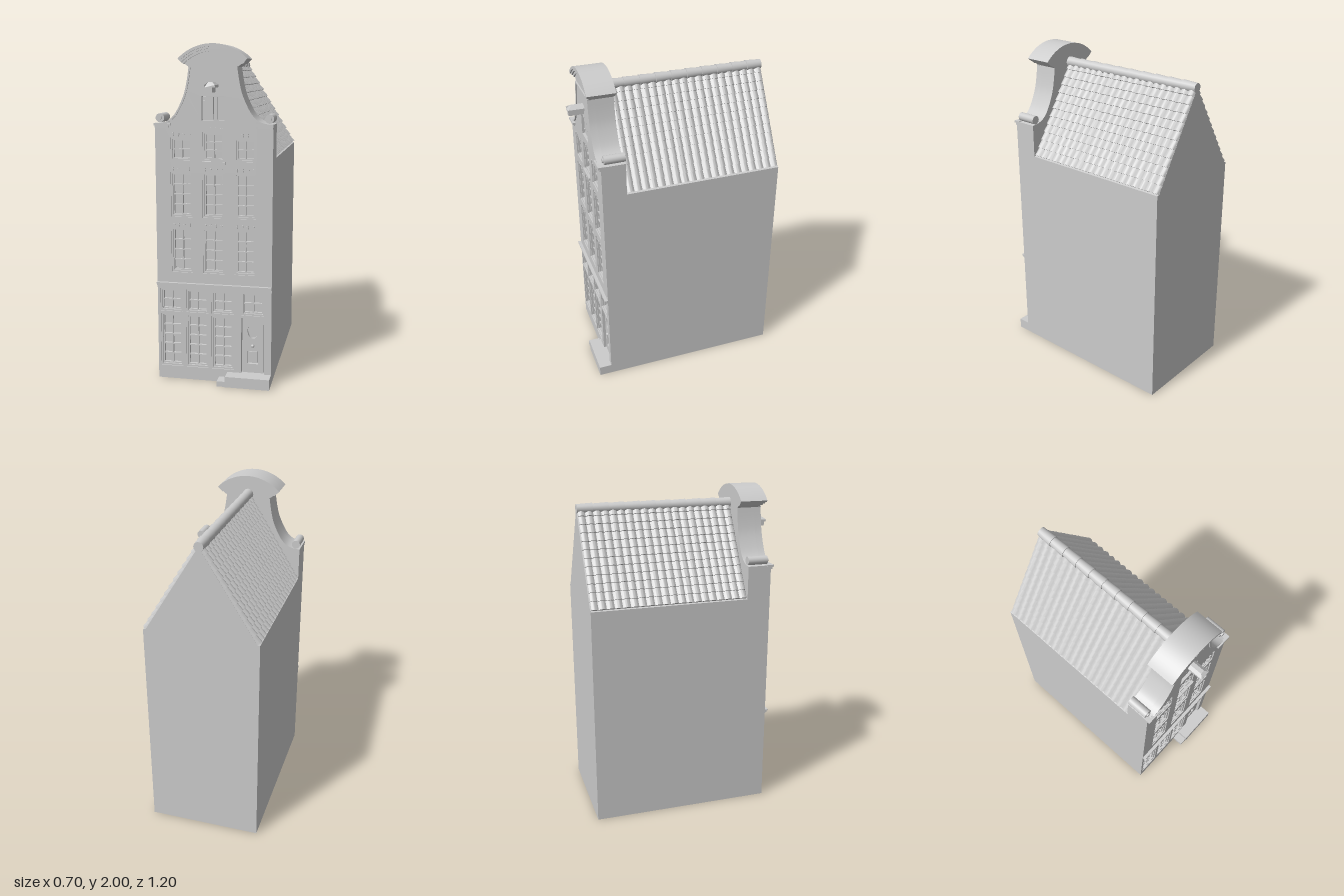
import * as THREE from 'three';
import { toCreasedNormals } from 'three/addons/utils/BufferGeometryUtils.js';

const mat = new THREE.MeshStandardMaterial({ color: 0xcccccc });
const roofMat = new THREE.MeshStandardMaterial({ color: 0xcccccc, side: THREE.DoubleSide });

const W = 0.345, BACK = -0.6, ROOF_END = 0.36, GLASS = 0.47, FRONT = 0.505;

function add(parent, name, geo, material = mat) {
  const m = new THREE.Mesh(geo, material);
  m.name = name;
  parent.add(m);
  return m;
}
function box(parent, name, x0, x1, y0, y1, z0, z1) {
  const m = add(parent, name, new THREE.BoxGeometry(x1 - x0, y1 - y0, z1 - z0));
  m.position.set((x0 + x1) / 2, (y0 + y1) / 2, (z0 + z1) / 2);
  return m;
}
function slab(parent, name, shape, z0, z1, curveSegments = 16) {
  const geo = new THREE.ExtrudeGeometry(shape, { depth: z1 - z0, bevelEnabled: false, curveSegments });
  const m = add(parent, name, toCreasedNormals(geo, 0.5));
  m.position.z = z0;
  return m;
}
const polygon = (pts) => new THREE.Shape(pts.map(([x, y]) => new THREE.Vector2(x, y)));
const rect = (x0, x1, y0, y1) => polygon([[x0, y0], [x1, y0], [x1, y1], [x0, y1]]);

// Frame with a grid of pane openings
function windowFrame(parent, [x0, x1, y0, y1, cols, rows]) {
  const g = new THREE.Group();
  g.name = 'window';
  const edge = 0.01, bar = 0.007;
  const outer = rect(x0, x1, y0, y1);
  outer.holes.push(rect(x0 + edge, x1 - edge, y0 + edge, y1 - edge));
  slab(g, 'windowFrame', outer, GLASS, 0.498);
  const sash = rect(x0 + edge, x1 - edge, y0 + edge, y1 - edge);
  const w = (x1 - x0 - 2 * edge - bar) / cols, h = (y1 - y0 - 2 * edge - bar) / rows;
  for (let c = 0; c < cols; c++) for (let r = 0; r < rows; r++) {
    const x = x0 + edge + bar + c * w, y = y0 + edge + bar + r * h;
    sash.holes.push(rect(x, x + w - bar, y, y + h - bar));
  }
  slab(g, 'windowSash', sash, GLASS, 0.487);
  parent.add(g);
}

// Neck of the gable, right half, from shoulder to crown
const neckCurve = new THREE.SplineCurve([
  [0.3, 1.555], [0.255, 1.575], [0.215, 1.62], [0.172, 1.71], [0.152, 1.79], [0.14, 1.87],
].map(([x, y]) => new THREE.Vector2(x, y)));
const neck = neckCurve.getPoints(16).map((p) => [p.x, p.y]);

// Crown arcs share one centre
const CY = 1.722, A0 = Math.PI * 0.245, A1 = Math.PI - A0;
function arcPoints(r, n = 20) {
  return Array.from({ length: n + 1 }, (_, i) => {
    const a = A0 + (A1 - A0) * i / n;
    return [r * Math.cos(a), CY + r * Math.sin(a)];
  });
}
function facadeShape() {
  const right = [[W, 0], [W, 1.55], ...neck];
  const left = right.map(([x, y]) => [-x, y]).reverse();
  return polygon([...right, ...arcPoints(0.262), ...left]);
}

// Stepped, wavy tile field on one slope
function tileSlope(side) {
  const cols = 20, seg = 8, rows = 12, len = ROOF_END - BACK, nx = cols * seg, ny = rows * 2;
  const geo = new THREE.PlaneGeometry(len, 1, nx, ny);
  const p = geo.attributes.position;
  const eave = [0.328, 1.352], ridge = [0, 1.885];
  const L = Math.hypot(eave[0], ridge[1] - eave[1]);
  const nX = (ridge[1] - eave[1]) / L, nY = eave[0] / L;
  for (let i = 0; i < p.count; i++) {
    const ix = i % (nx + 1), iy = Math.floor(i / (nx + 1));
    const wave = Math.abs(Math.sin(Math.PI * ix / seg));
    const closed = ix === 0 || ix === nx || iy === ny;
    const h = closed ? 0 : 0.003 + 0.012 * wave + (iy % 2 ? 0.01 : 0);
    const t = Math.ceil(iy / 2) / rows;
    p.setXYZ(i,
      side * (eave[0] * t + nX * h),
      ridge[1] + (eave[1] - ridge[1]) * t + nY * h,
      (BACK + ROOF_END) / 2 - side * (ix / nx - 0.5) * len);
  }
  return toCreasedNormals(geo, 0.6);
}

export function createModel() {
  const house = new THREE.Group();
  house.name = 'canalHouse';

  // House body with pitched top, and the wall behind the openings
  slab(house, 'body', polygon([[-W, 0], [W, 0], [W, 1.35], [0.328, 1.354], [0, 1.888], [-0.328, 1.354], [-W, 1.35]]), BACK, ROOF_END);
  slab(house, 'facadeBack', facadeShape(), ROOF_END, GLASS);

  // Openings: x0, x1, y0, y1, columns, rows
  const windows = [];
  for (const [x0, x1] of [[-0.255, -0.125], [-0.065, 0.065], [0.123, 0.25]]) {
    const mid = x0 === -0.065;
    windows.push([x0, x1, 0.67, 0.94, 2, 4], [x0, x1, 1.005, 1.27, 2, 4]);
    windows.push([x0, x1, 1.337, mid ? 1.505 : 1.47, 2, mid ? 3 : 2]);
  }
  const upperCount = windows.length;
  for (const x of [-0.328, -0.17, -0.015]) {
    windows.push([x, x + 0.136, 0.08, 0.41, 2, 5], [x, x + 0.136, 0.425, 0.565, 2, 2]);
  }
  windows.push([0.165, 0.302, 0.425, 0.565, 2, 2]);
  const hatch = [-0.068, 0.065, 1.57, 1.708], door = [0.165, 0.302, 0.065, 0.41];

  const front = facadeShape();
  for (const [x0, x1, y0, y1] of [...windows, hatch, door]) front.holes.push(rect(x0, x1, y0, y1));
  slab(house, 'facade', front, GLASS, FRONT);
  windows.forEach((w) => windowFrame(house, w));

  // Small fanned bricks above the upper windows
  windows.slice(0, upperCount).forEach(([x0, x1, , y1]) => {
    for (let i = 0; i < 4; i++) {
      const x = x0 + 0.017 + i * (x1 - x0 - 0.034) / 3;
      box(house, 'lintelStud', x - 0.003, x + 0.003, y1 + 0.008, y1 + 0.028, FRONT - 0.01, 0.511);
      box(house, 'lintelStudHead', x - 0.007, x + 0.007, y1 + 0.018, y1 + 0.023, FRONT - 0.01, 0.51);
    }
  });
  box(house, 'centreSill', -0.07, 0.07, 1.32, 1.335, 0.49, 0.515);

  // Door with oval light, knob and lower panel
  const leaf = rect(0.17, 0.297, 0.065, 0.405);
  const oval = new THREE.Path();
  oval.absellipse(0.232, 0.327, 0.032, 0.048, 0, Math.PI * 2);
  leaf.holes.push(oval, rect(0.2, 0.263, 0.12, 0.2));
  slab(house, 'door', leaf, GLASS, 0.488);
  box(house, 'doorPanel', 0.206, 0.257, 0.126, 0.194, GLASS, 0.482);
  const knob = add(house, 'doorKnob', new THREE.SphereGeometry(0.01, 12, 8));
  knob.position.set(0.232, 0.235, 0.492);

  // Loft hatch shutters
  box(house, 'hatchShutter', -0.065, -0.003, 1.575, 1.703, GLASS, 0.49);
  for (let i = 0; i < 3; i++) {
    box(house, 'hatchPlank', 0.001 + i * 0.021, 0.02 + i * 0.021, 1.575, 1.703, GLASS, 0.49);
  }
  for (const y of [1.6, 1.68]) box(house, 'hatchHinge', -0.062, -0.045, y - 0.004, y + 0.004, 0.488, 0.495);

  // Hoist beam with a hipped cover
  box(house, 'hoistBeam', -0.013, 0.013, 1.73, 1.762, 0.48, 0.595);
  const cover = slab(house, 'hoistCover', polygon([[-0.03, 1.758], [0.03, 1.758], [0.03, 1.772], [0.012, 1.788], [-0.012, 1.788], [-0.03, 1.772]]), 0.48, 0.6);
  const cp = cover.geometry.attributes.position;
  for (let i = 0; i < cp.count; i++) if (cp.getY(i) > 1.78 && cp.getZ(i) > 0.1) cp.setZ(i, 0.1);
  cover.geometry = toCreasedNormals(cover.geometry, 0.3);

  // String course above the shop front
  box(house, 'stringCourse', -W, W, 0.587, 0.598, 0.49, 0.516);
  box(house, 'stringCourseTop', -W, W, 0.598, 0.607, 0.49, 0.525);

  // Front steps
  box(house, 'lowerStep', 0.03, 0.085, 0, 0.032, 0.49, 0.578);
  box(house, 'upperStep', 0.08, W, 0, 0.065, 0.49, 0.582);

  // Gable shoulders, scrolls and neck edging, mirrored
  for (const s of [1, -1]) {
    const span = (a, b) => (s > 0 ? [a, b] : [-b, -a]);
    box(house, 'shoulderLedge', ...span(0.26, W), 1.527, 1.54, 0.49, 0.514);
    box(house, 'shoulderLedgeTop', ...span(0.25, 0.347), 1.54, 1.553, 0.48, 0.522);
    const scroll = add(house, 'scroll', new THREE.CylinderGeometry(0.026, 0.026, 0.124, 24));
    scroll.rotation.x = Math.PI / 2;
    scroll.position.set(s * 0.32, 1.581, 0.422);
    const eye = add(house, 'scrollEye', new THREE.CylinderGeometry(0.013, 0.013, 0.01, 16));
    eye.rotation.x = Math.PI / 2;
    eye.position.set(s * 0.32, 1.581, 0.487);
    const inner = neck.map(([x, y]) => [x - 0.01, y - 0.004]).reverse();
    const strip = [...neck, ...inner].map(([x, y]) => [s * x, y]);
    slab(house, 'neckEdging', polygon(strip), 0.49, 0.513);
  }

  // Crown: stepped arched mouldings over a thin cornice
  const band = (r0, r1) => polygon([...arcPoints(r1), ...arcPoints(r0).reverse()]);
  slab(house, 'crownArch', band(0.262, 0.278), ROOF_END, 0.53);
  slab(house, 'crownArchMiddle', band(0.25, 0.263), ROOF_END, 0.522);
  slab(house, 'crownArchInner', band(0.236, 0.251), ROOF_END, 0.513);
  box(house, 'crownCornice', -0.142, 0.142, 1.866, 1.876, 0.49, 0.513);

  // Tiled roof slopes and ridge caps
  for (const s of [1, -1]) add(house, s > 0 ? 'leftRoofTiles' : 'rightRoofTiles', tileSlope(s), roofMat);
  const caps = 10, capLength = (ROOF_END - BACK) / caps;
  for (let i = 0; i < caps; i++) {
    const cap = add(house, 'ridgeCap', new THREE.CylinderGeometry(0.033, 0.028, capLength, 20));
    cap.rotation.x = Math.PI / 2;
    cap.position.set(0, 1.886, BACK + (i + 0.5) * capLength);
  }
  return house;
}
